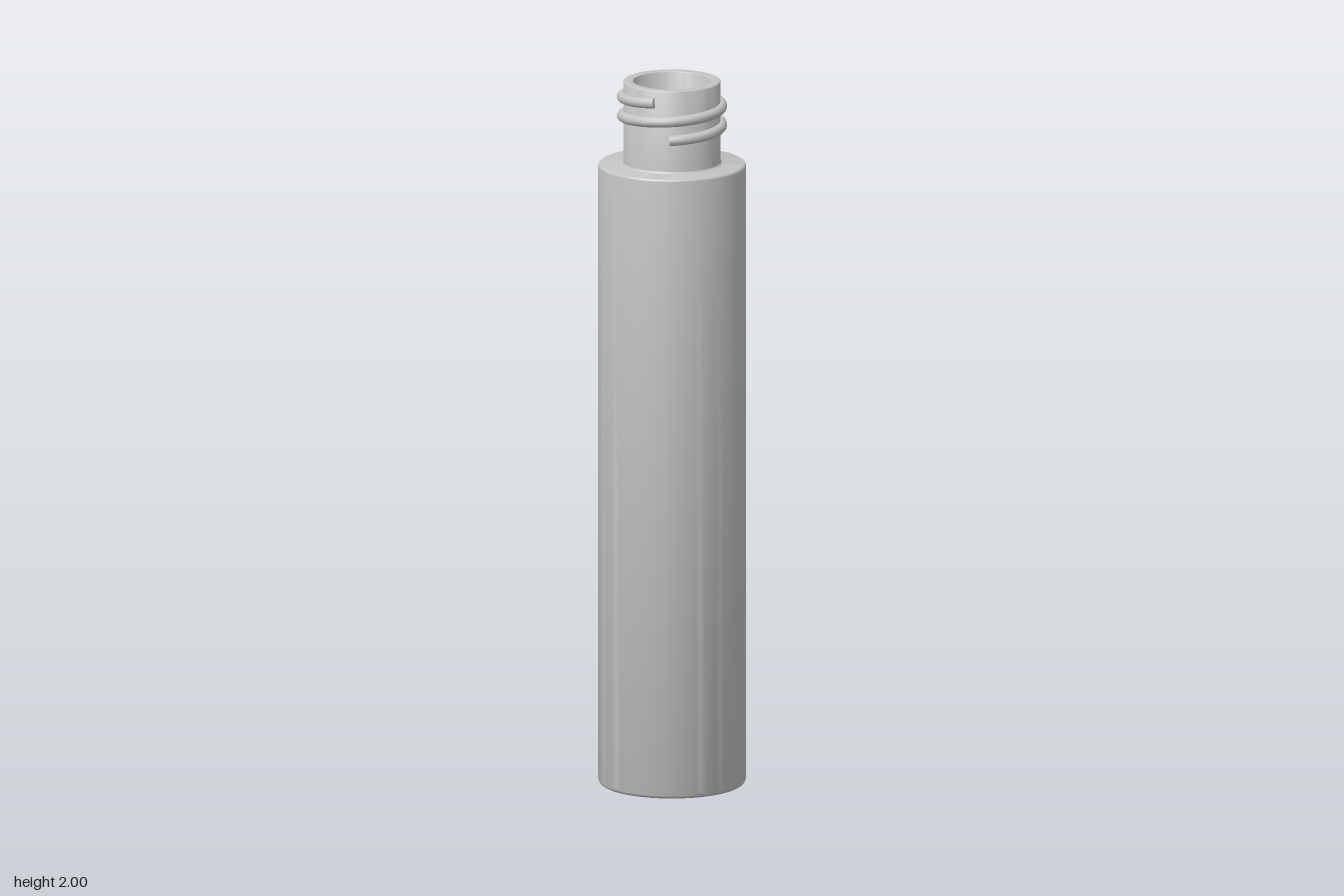
import * as THREE from 'three';
import { toCreasedNormals } from 'three/addons/utils/BufferGeometryUtils.js';

const plastic = new THREE.MeshStandardMaterial({ color: 0xc4c4c4 });
plastic.name = 'grey plastic';

// Quarter-round corner: centre, radius, start and end angle
function corner(cx, cy, r, from, to, steps = 4) {
  return Array.from({ length: steps + 1 }, (_, i) => {
    const a = from + (to - from) * i / steps;
    return new THREE.Vector2(cx + r * Math.cos(a), cy + r * Math.sin(a));
  });
}

// Screw thread rising around the neck, angle measured from +z towards +x
class ThreadCurve extends THREE.Curve {
  getPoint(t, target = new THREE.Vector3()) {
    const a = THREE.MathUtils.degToRad(10 + 702 * t);
    return target.set(0.138 * Math.sin(a), 1.86 + 0.105 * t, 0.138 * Math.cos(a));
  }
}

export function createModel() {
  const model = new THREE.Group();
  model.name = 'bottle';
  const add = (name, geometry, parent = model) => {
    const mesh = new THREE.Mesh(geometry, plastic);
    mesh.name = name;
    parent.add(mesh);
    return mesh;
  };
  const H = Math.PI / 2;

  // Hollow bottle: base, wall, shoulder, neck, lip, bore
  const profile = [
    new THREE.Vector2(0, 0),
    ...corner(0.188, 0.017, 0.017, -H, 0),
    ...corner(0.198, 1.758, 0.007, 0, H),
    ...corner(0.142, 1.772, 0.007, -H, -2 * H),
    ...corner(0.131, 1.996, 0.004, 0, H),
    ...corner(0.11, 1.997, 0.003, H, 2 * H),
    new THREE.Vector2(0.107, 0.03),
    new THREE.Vector2(0, 0.03),
  ];
  add('bottleShell', toCreasedNormals(new THREE.LatheGeometry(profile, 80), 0.6));

  // Thread with flat end caps
  const thread = new THREE.Group();
  thread.name = 'screwThread';
  model.add(thread);
  const curve = new ThreadCurve();
  add('threadRidge', new THREE.TubeGeometry(curve, 140, 0.015, 12), thread);
  for (const [t, sign] of [[0, -1], [1, 1]]) {
    const cap = add('threadEnd', new THREE.CircleGeometry(0.015, 12), thread);
    const p = curve.getPoint(t);
    cap.position.copy(p);
    cap.lookAt(p.clone().addScaledVector(curve.getTangent(t), sign));
  }
  return model;
}
